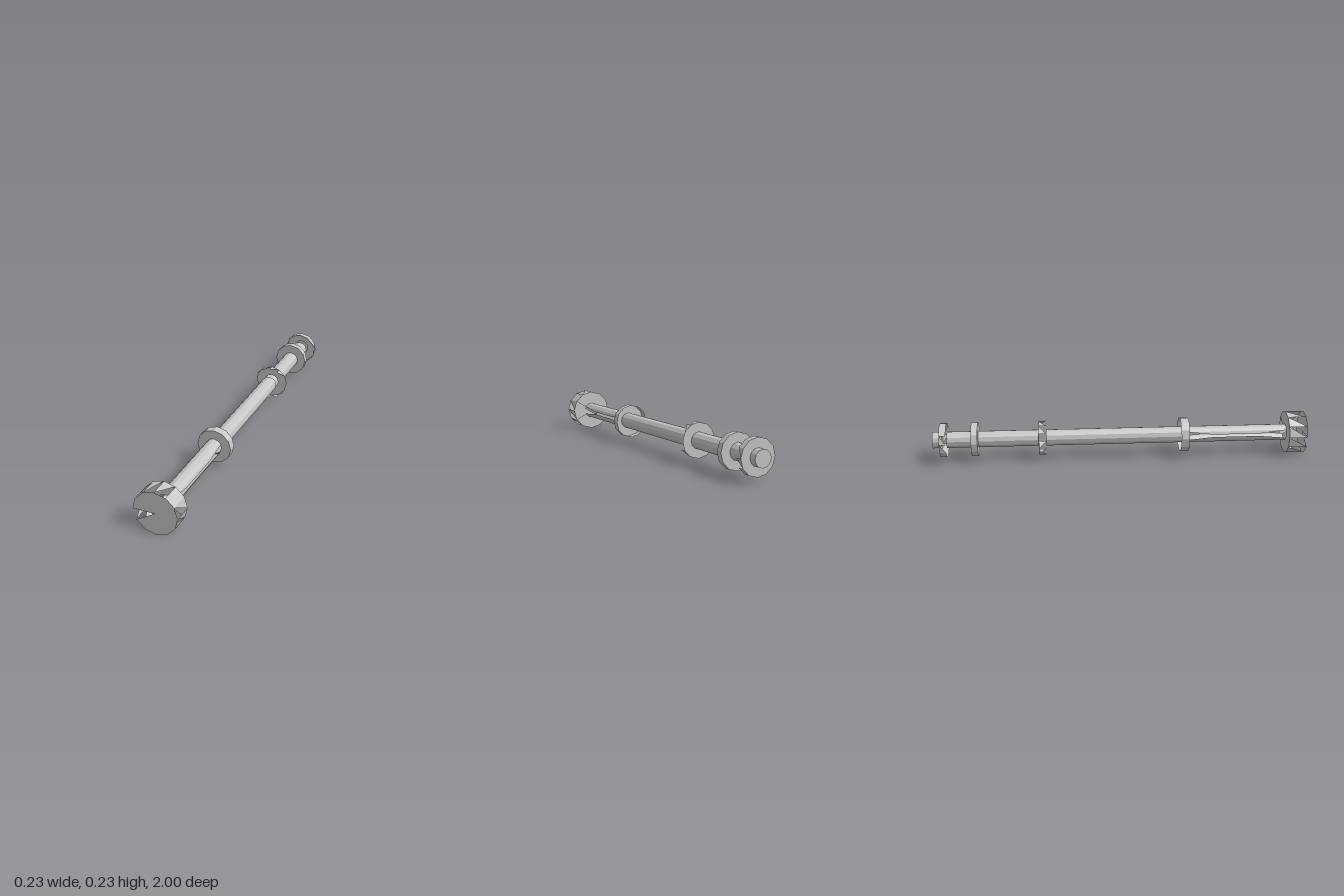
import * as THREE from 'three';

const STEP = Math.PI / 6; // every section is twelve-sided
const ROD = 0.044;
const COLLAR = 0.092;
const HEAD = 0.114;

export function createModel() {
  const steel = new THREE.MeshStandardMaterial({ color: 0xc6c6c6, flatShading: true, side: THREE.DoubleSide });
  steel.name = 'light grey steel';
  const model = new THREE.Group();
  const axle = new THREE.Group();
  axle.name = 'axle';
  axle.position.y = 0.115;
  model.add(axle);

  const add = (name, geometry, z = 0) => {
    const mesh = new THREE.Mesh(geometry, steel);
    mesh.name = name;
    mesh.position.z = z;
    axle.add(mesh);
  };

  // Flat polygonal face, optionally with a hole or only a sector
  const cap = (name, r, hole, z, back = false, first = 0, count = 12) => {
    const g = hole
      ? new THREE.RingGeometry(hole, r, count, 1, first * STEP, count * STEP)
      : new THREE.CircleGeometry(r, count, first * STEP, count * STEP);
    if (back) g.setIndex(Array.from(g.index.array).reverse());
    g.computeVertexNormals();
    add(name, g, z);
  };

  // Open strip of polygons [angle in steps, z], wound outwards
  const strip = (name, r, polygons) => {
    const pos = [];
    const put = ([a, z]) => pos.push(r * Math.cos(a * STEP), r * Math.sin(a * STEP), z);
    for (const p of polygons) {
      for (let i = 1; i < p.length - 1; i++) [p[0], p[i], p[i + 1]].forEach(put);
    }
    const g = new THREE.BufferGeometry();
    g.setAttribute('position', new THREE.Float32BufferAttribute(pos, 3));
    g.computeVertexNormals();
    add(name, g);
  };

  const all = [...Array(12).keys()];
  const flanks = [0, 5, 6, 11];
  const offSides = all.filter((i) => !flanks.includes(i)); // leaves the flanks open
  const quads = (list, z0, z1) => list.map((i) => [[i, z1], [i, z0], [i + 1, z0], [i + 1, z1]]);
  const teeth = (list, z0, z1) => list.map((i) => [[i, z0], [i + 1, z0], [i + 1, z1]]);

  // Rod sections
  strip('middleRod', ROD, quads(all, -0.4, 0.365));
  strip('rearRod', ROD, quads(all, -0.925, -0.44));
  strip('rodStub', ROD, quads(all, -1, -0.96));
  cap('rodEnd', ROD, 0, -1, true);

  // Slotted front rod with slim flanges on both flanks
  strip('frontRod', ROD, quads(offSides, 0.345, 0.9));
  const flanges = [];
  for (const mid of [0, 6]) {
    flanges.push([[mid + 1, 0.9], [mid + 0.3, 0.75], [mid + 0.3, 0.5], [mid + 1, 0.36]]);
    flanges.push([[mid - 1, 0.36], [mid - 0.3, 0.5], [mid - 0.3, 0.75], [mid - 1, 0.9]]);
  }
  strip('slotFlanges', ROD, flanges);

  // Toothed head with a notch in its front face
  strip('headTeeth', HEAD, [...teeth(all.filter((i) => i !== 1), 0.9, 1), ...quads([1], 0.9, 1)]);
  cap('headFront', HEAD, 0, 1, false, 7, 11);
  cap('headBack', HEAD, ROD * 0.9, 0.9, true, 1, 10);

  // Front collar, open at the back
  strip('frontCollar', COLLAR, quads(all, 0.32, 0.365));
  cap('frontCollarFace', COLLAR, ROD * 0.9, 0.365);

  // Toothed collar, open at the front
  strip('toothedCollar', COLLAR, teeth(offSides, -0.44, -0.4));
  cap('toothedCollarBack', COLLAR, ROD * 0.9, -0.44, true);

  // Closed rear collar
  strip('rearCollar', COLLAR, quads(all, -0.795, -0.76));
  cap('rearCollarFront', COLLAR, ROD * 0.9, -0.76);
  cap('rearCollarBack', COLLAR, ROD * 0.9, -0.795, true);

  // End collar, open at the front, with toothed flanks
  strip('endCollar', COLLAR, [...quads(offSides, -0.96, -0.925), ...teeth(flanks, -0.96, -0.925)]);
  cap('endCollarBack', COLLAR, ROD * 0.9, -0.96, true);

  return model;
}
